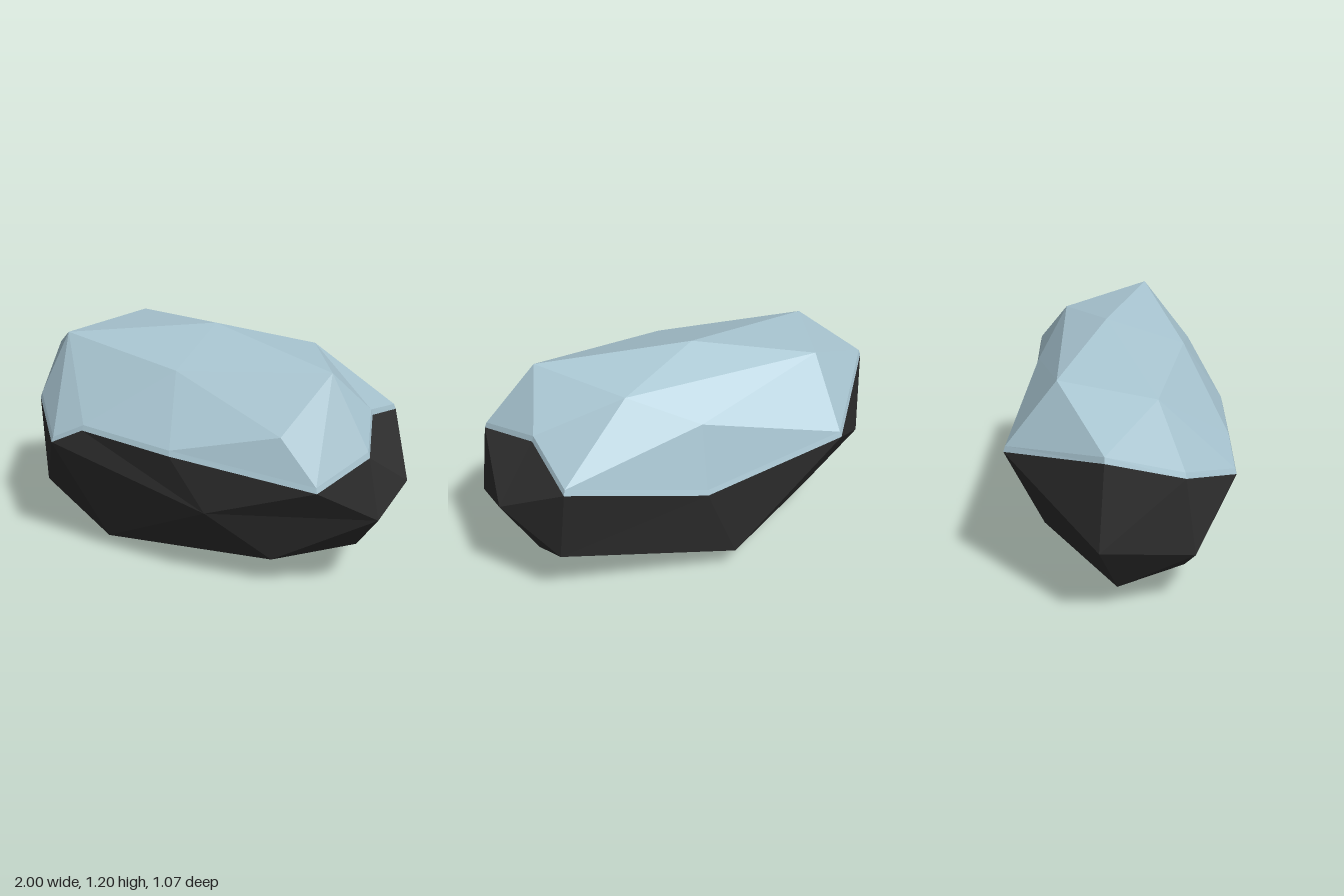
import * as THREE from 'three';

// Joins two rows of points into triangles, left to right seen from outside.
// Each step advances along the upper (u) or lower (l) row.
function strip(upper, lower, steps) {
  const out = [];
  let u = 0, l = 0;
  for (const s of steps) {
    if (s === 'u') out.push(upper[u], lower[l], upper[++u]);
    else out.push(upper[u], lower[l], lower[++l]);
  }
  return out;
}

const close = (ring) => [...ring, ring[0]];

// Faceted mesh from unshared triangle corners
function facetMesh(name, corners, material) {
  const geometry = new THREE.BufferGeometry();
  geometry.setAttribute('position', new THREE.Float32BufferAttribute(corners.flat(), 3));
  geometry.computeVertexNormals();
  const mesh = new THREE.Mesh(geometry, material);
  mesh.name = name;
  return mesh;
}

export function createModel() {
  const stone = new THREE.MeshStandardMaterial({ color: 0x303030 });
  stone.name = 'dark stone';
  const snow = new THREE.MeshStandardMaterial({ color: 0xaac7d3 });
  snow.name = 'pale blue snow';

  // Snow line around the boulder, anticlockwise from above
  const rim = [
    [0.94, 0.815, 0.215], [0.81, 0.88, -0.1], [0.79, 0.78, -0.44], [0.08, 0.59, -0.48],
    [-0.61, 0.765, -0.54], [-1.0, 0.895, -0.075], [-0.865, 0.755, 0.285], [-0.62, 0.655, 0.53],
    [-0.445, 0.75, 0.51], [0.05, 0.73, 0.51], [0.755, 0.65, 0.365],
  ];
  const lip = rim.map(([x, y, z]) => [x * 0.99, y + 0.027, z * 0.985]);

  // Stone corners
  const rightFront = [0.985, 0.49, 0.18];
  const rightTip = [1.0, 0.575, -0.115];
  const rightBack = [0.775, 0.33, -0.3];
  const backLow = [-0.125, 0.13, -0.39];
  const leftLow = [-0.74, 0.125, -0.02];
  const leftTip = [-0.995, 0.45, -0.1];
  const leftFront = [-0.8, 0.33, 0.34];
  const frontLow = [-0.45, 0.075, 0.31];
  const frontMid = [0.21, 0.445, 0.455];
  const rightLow = [0.79, 0.21, -0.03];
  const frontRightLow = [0.47, 0.17, 0.255];
  const base = [-0.075, 0, 0.01];
  const belly = [rightFront, rightTip, rightBack, backLow, leftLow, leftTip, leftFront, frontLow, frontMid];

  const stoneCorners = [
    ...strip(close(rim), close(belly), 'luulululluululluuulu'),
    ...strip([rightFront, rightTip, rightBack, backLow], [rightLow], 'uuu'),
    ...strip([leftTip, leftFront, frontLow], [leftLow], 'uu'),
    ...strip([frontLow, frontMid, rightFront], [frontRightLow, rightLow], 'uul'),
    ...strip(close([rightLow, backLow, leftLow, frontLow, frontRightLow]), [base], 'uuuuu'),
  ];

  // Snow corners
  const peak = [-0.03, 1.2, -0.07];
  const crownRight = [0.7, 1.15, 0.13];
  const crownBackRight = [0.41, 1.11, -0.28];
  const crownBackLeft = [-0.59, 1.11, -0.29];
  const crownLeft = [-0.76, 1.09, 0.16];
  const crownFront = [-0.03, 1.075, 0.305];
  const backBulge = [0.08, 0.95, -0.41];
  const frontBulge = [0.56, 0.885, 0.36];
  const crown = [crownRight, crownBackRight, backBulge, crownBackLeft, crownLeft, crownFront, frontBulge];

  const snowCorners = [
    ...strip([peak], close([crownRight, crownBackRight, crownBackLeft, crownLeft, crownFront]), 'lllll'),
    ...strip([crownBackRight, crownBackLeft], [backBulge], 'u'),
    ...strip([crownFront, crownRight], [frontBulge], 'u'),
    ...strip(close(crown), close(lip), 'lulullululllululul'),
  ];

  const group = new THREE.Group();
  group.name = 'snowyBoulder';
  group.add(
    facetMesh('boulder', stoneCorners, stone),
    facetMesh('snowCap', snowCorners, snow),
    facetMesh('snowLip', strip(close(lip), close(rim), 'lu'.repeat(rim.length)), snow),
  );
  return group;
}
